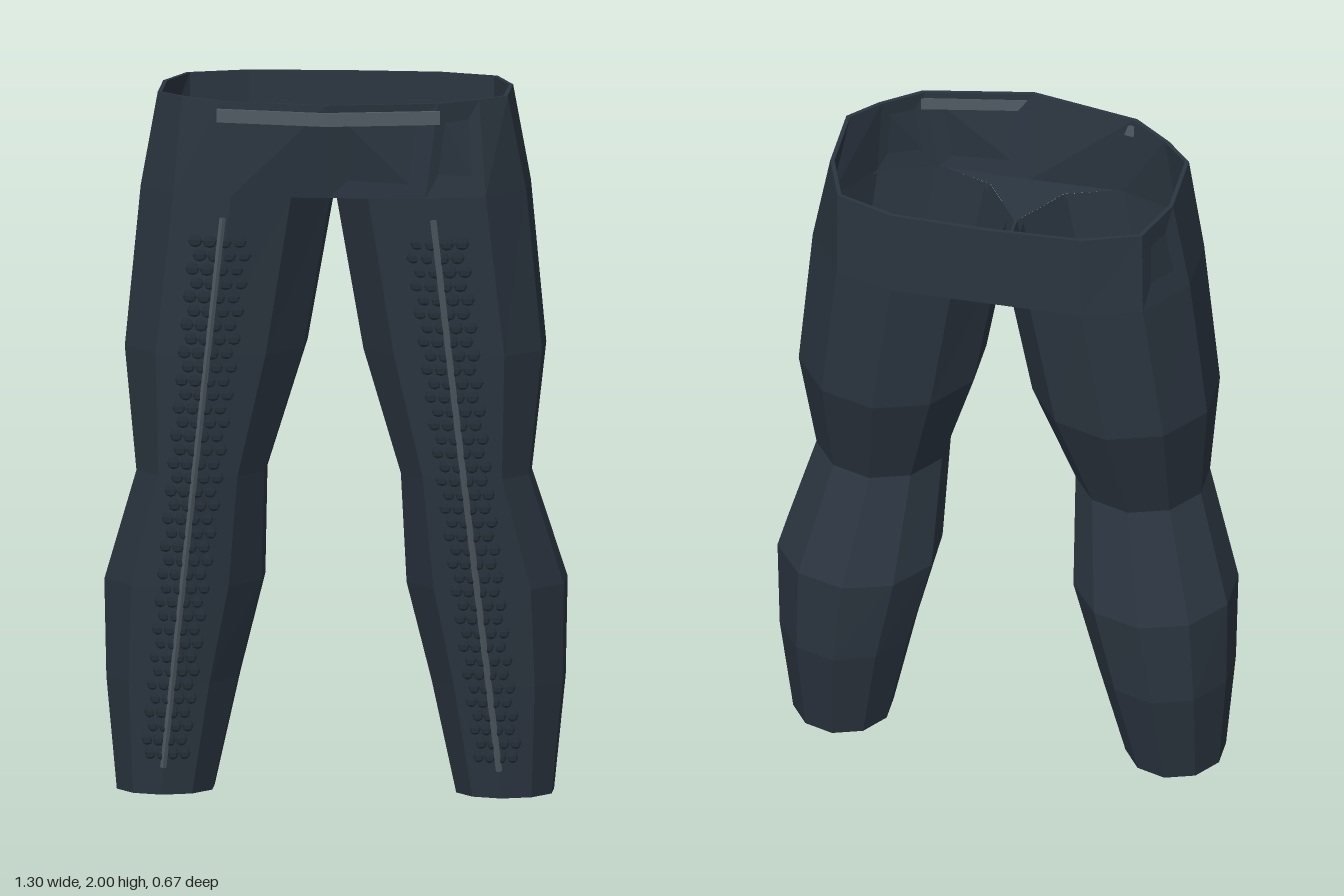
import * as THREE from 'three';
import { mergeGeometries } from 'three/addons/utils/BufferGeometryUtils.js';

const material = (color) => new THREE.MeshStandardMaterial({ color, flatShading: true, side: THREE.DoubleSide });
const SIDES = 10;
const WALL = 0.02;

// Leg cross-sections: height, inner x, outer x, back z, front z
const LEG = [
  [0, 0.345, 0.615, -0.155, 0.145],
  [0.32, 0.275, 0.645, -0.235, 0.178],
  [0.6, 0.205, 0.65, -0.26, 0.207],
  [0.92, 0.193, 0.555, -0.15, 0.237],
  [1.27, 0.085, 0.59, -0.28, 0.262],
  [1.73, 0.004, 0.545, -0.32, 0.28],
];

// Half outlines of the hips, front to back: x, z
const HIP = [[0, 0.28], [0.275, 0.28], [0.442, 0.223], [0.545, 0.073], [0.545, -0.113], [0.442, -0.263], [0.275, -0.32], [0, -0.32]];
const WAIST = [[0, 0.322], [0.31, 0.262], [0.42, 0.18], [0.495, 0.1], [0.495, -0.11], [0.44, -0.265], [0.275, -0.325], [0, -0.335]];

// Skin a series of closed rings
function loft(rings) {
  const n = rings[0].length;
  const index = [];
  for (let i = 0; i < rings.length - 1; i++) {
    for (let j = 0; j < n; j++) {
      const a = i * n + j, b = i * n + (j + 1) % n;
      index.push(a, a + n, b, b, a + n, b + n);
    }
  }
  const geometry = new THREE.BufferGeometry().setFromPoints(rings.flat());
  geometry.setIndex(index);
  geometry.computeVertexNormals();
  return geometry;
}

// Ten-sided leg section with flat sides and a ridge at front and back
function legRing([y, xi, xo, zb, zf], side, inset) {
  const rx = (xo - xi) / 2 - inset, rz = (zf - zb) / 2 - inset;
  return Array.from({ length: SIDES }, (_, k) => {
    const a = ((k + 0.5) / SIDES) * Math.PI * 2;
    return new THREE.Vector3(
      side * (xi + xo) / 2 + rx * Math.cos(a) / Math.cos(Math.PI / SIDES),
      y,
      (zb + zf) / 2 + rz * Math.sin(a));
  });
}

// Mirror a half outline into a full ring
function hipRing(half, y, inset) {
  const right = half.slice().reverse();
  const left = half.slice(1, -1).map(([x, z]) => [-x, z]);
  return [...right, ...left].map(([x, z]) => {
    const k = 1 - inset / Math.hypot(x, z);
    return new THREE.Vector3(x * k, y, z * k);
  });
}

// Interpolated leg section at any height
function sectionAt(y) {
  let i = 0;
  while (i < LEG.length - 2 && y > LEG[i + 1][0]) i++;
  const t = (y - LEG[i][0]) / (LEG[i + 1][0] - LEG[i][0]);
  const [, xi, xo, zb, zf] = LEG[i].map((v, k) => THREE.MathUtils.lerp(v, LEG[i + 1][k], t));
  return { rx: (xo - xi) / 2, rz: (zf - zb) / 2, zf };
}

// Seam position across the leg
const seamX = (y) => THREE.MathUtils.mapLinear(y, 0.08, 1.67, 0.475, 0.298);

// Rows of small overlapping scales beside the front seam
function scalesGeometry(side) {
  const scales = [];
  const rows = 38;
  for (let r = 0; r < rows; r++) {
    const t = r / (rows - 1);
    const y = THREE.MathUtils.lerp(0.12, 1.6, t);
    const pitch = THREE.MathUtils.lerp(0.032, 0.042, t);
    const { rx, rz, zf } = sectionAt(y);
    for (let c = 0; c < 4; c++) {
      const dx = (c - 1.5 + (r % 2 ? 0.2 : -0.2)) * pitch;
      const z = zf - Math.abs(dx) / (0.618 * rx) * 0.191 * rz;
      const scale = new THREE.SphereGeometry(1, 8, 4);
      scale.scale(pitch * 0.5, 0.019, 0.008);
      scale.rotateX(-0.3);
      scale.translate(side * (seamX(y) + dx), y, z + 0.002);
      scales.push(scale);
    }
  }
  return mergeGeometries(scales);
}

export function createModel() {
  const group = new THREE.Group();
  group.name = 'trousers';
  const cloth = material(0x2b3540);
  const dark = material(0x222b34);
  const trim = material(0x505b63);
  const add = (name, geometry, mat) => {
    const mesh = new THREE.Mesh(geometry, mat);
    mesh.name = name;
    group.add(mesh);
  };

  for (const [label, side] of [['left', 1], ['right', -1]]) {
    // Leg with a thin wall, closed at the hem
    const inner = LEG.slice().reverse().map((s) => legRing(s, side, WALL));
    const outer = LEG.map((s) => legRing(s, side, 0));
    add(label + 'Leg', loft([...inner, ...outer]), cloth);

    // Scales and the raised seam on the front
    add(label + 'Scales', scalesGeometry(side), dark);
    const path = new THREE.CurvePath();
    const points = [0.08, 0.32, 0.6, 0.92, 1.27, 1.67].map(
      (y) => new THREE.Vector3(side * seamX(y), y, sectionAt(y).zf + 0.006));
    points.slice(1).forEach((p, i) => path.add(new THREE.LineCurve3(points[i], p)));
    add(label + 'Seam', new THREE.TubeGeometry(path, 30, 0.009, 4), trim);
  }

  // Hips up to the open waist
  add('hips', loft([
    hipRing(HIP, 1.73, 0), hipRing(WAIST, 2, 0),
    hipRing(WAIST, 2, 0.012), hipRing(HIP, 1.73, 0.012),
  ]), cloth);

  // Flat gusset filling the space between the leg tops
  const edge = [[0.275, 0.28], [0.107, 0.223], [0.004, 0.073], [0.004, -0.113], [0.107, -0.263], [0.275, -0.32]];
  const outline = [...edge, ...edge.slice().reverse().map(([x, z]) => [-x, z])];
  const gusset = new THREE.ShapeGeometry(new THREE.Shape(outline.map(([x, z]) => new THREE.Vector2(x, z))));
  gusset.rotateX(Math.PI / 2);
  gusset.translate(0, 1.73, 0);
  add('gusset', gusset, cloth);

  // Waistband strip, bent at the middle
  const band = new THREE.Shape([
    [-0.313, 0.25], [0, 0.31], [0.313, 0.25], [0.316, 0.272], [0, 0.333], [-0.316, 0.272],
  ].map(([x, z]) => new THREE.Vector2(x, z)));
  const bandGeometry = new THREE.ExtrudeGeometry(band, { depth: 0.038, bevelEnabled: false });
  bandGeometry.rotateX(Math.PI / 2);
  bandGeometry.translate(0, 1.979, 0);
  add('waistband', bandGeometry, trim);

  return group;
}
